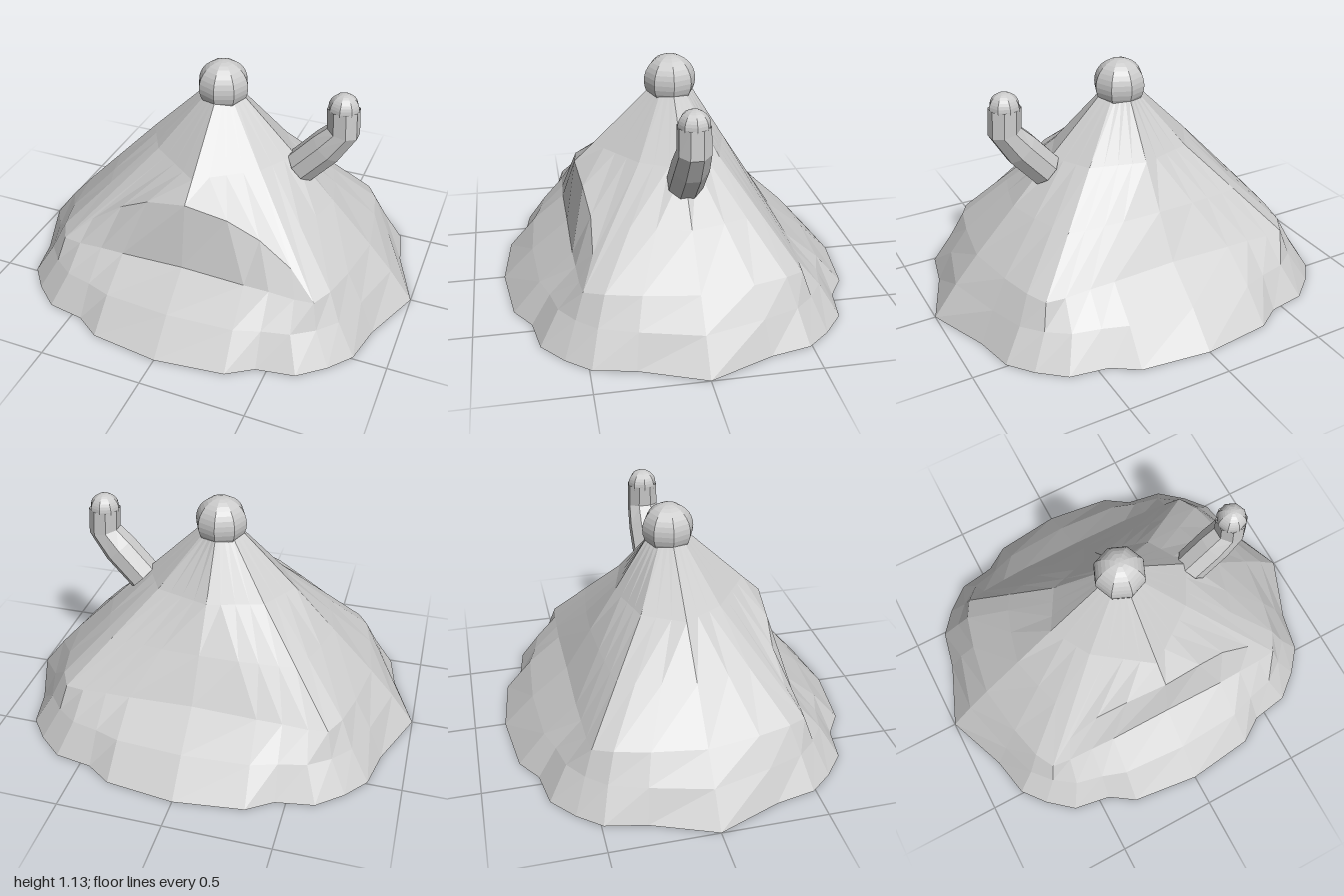
import * as THREE from 'three';

const material = new THREE.MeshStandardMaterial({
  color: 0xcccccc, flatShading: true, side: THREE.DoubleSide,
});

// Skins rows of equally many points (closed loops) with quads.
function skin(rows) {
  const n = rows[0].length;
  const index = [];
  for (let r = 0; r + 1 < rows.length; r++) {
    for (let i = 0; i < n; i++) {
      const a = r * n + i, b = r * n + (i + 1) % n;
      index.push(a, b, b + n, a, b + n, a + n);
    }
  }
  const g = new THREE.BufferGeometry();
  g.setAttribute('position', new THREE.Float32BufferAttribute(rows.flat(2), 3));
  g.setIndex(index);
  g.computeVertexNormals();
  return g;
}

function add(group, name, geometry, x = 0, y = 0, z = 0) {
  const mesh = new THREE.Mesh(geometry, material);
  mesh.name = name;
  mesh.position.set(x, y, z);
  group.add(mesh);
}

const lerp = (a, b, t) => a.map((v, i) => v + (b[i] - v) * t);

// One quarter of the outline, from the middle of the front round to the side.
const rim = [[0, 0, 0.85], [0.33, 0, 0.81], [0.45, 0, 0.73], [0.63, 0, 0.7],
  [0.75, 0, 0.6], [0.84, 0, 0.49], [0.88, 0, 0.3], [1, 0, 0]];
const flare = [[0, 0.15, 0.7], [0.32, 0.15, 0.68], [0.44, 0.15, 0.64], [0.57, 0.15, 0.61],
  [0.67, 0.15, 0.54], [0.75, 0.15, 0.45], [0.81, 0.15, 0.28], [0.885, 0.15, 0]];
const shoulder = [[0, 0.295, 0.52], [0.31, 0.285, 0.52], [0.43, 0.28, 0.515], [0.55, 0.27, 0.51],
  [0.64, 0.27, 0.5], [0.69, 0.28, 0.41], [0.73, 0.28, 0.25], [0.77, 0.28, 0]];
// Edge of the awning over the front panel.
const arch = [[0, 0.615, 0.47], [0.2, 0.57, 0.45], [0.35, 0.49, 0.43], [0.51, 0.38, 0.44],
  [0.64, 0.27, 0.5]];

// Straight-sided ring: column q between its middle, corner and side points.
const facet = (middle, corner, side, q) =>
  (q <= 4 ? lerp(middle, corner, q / 4) : lerp(corner, side, (q - 4) / 3));

// The four quarters are mirrored from the same column data.
function tentRows() {
  const rows = [[], [], [], [], [], []];
  for (let k = 0; k < 28; k++) {
    const m = k % 14, q = m <= 7 ? m : 14 - m;
    const sx = k < 14 ? 1 : -1;
    const front = k <= 7 || k >= 21;
    const waist = facet([0, 0.7, front ? 0.38 : 0.265], [0.26, 0.7, 0.19], [0.37, 0.7, 0], q);
    const neck = facet([0, 0.97, 0.1], [0.065, 0.97, 0.055], [0.1, 0.97, 0], q);
    const upper = front && q <= 4 ? arch[q] : lerp(shoulder[q], waist, 0.5);
    const column = [rim[q], flare[q], shoulder[q], upper, waist, neck];
    column.forEach((p, r) => rows[r].push([p[0] * sx, p[1], front ? p[2] : -p[2]]));
  }
  return rows;
}

// Bent eight-sided pipe: [x, y, lean of the section, radius]
function pipeRows() {
  const sections = [[0.4, 0.65, 0.78, 0], [0.4, 0.65, 0.78, 0.08], [0.52, 0.785, 0.72, 0.08],
    [0.592, 0.882, 0.2, 0.072], [0.585, 1.0, 0, 0.07]];
  return sections.map(([x, y, lean, r]) => Array.from({ length: 8 }, (_, i) => {
    const a = (i + 0.5) * Math.PI / 4;
    const u = Math.sin(a) * r * 1.08, w = Math.cos(a) * r * 1.08;
    return [x + u * Math.cos(lean), y - u * Math.sin(lean), w];
  }));
}

export function createModel() {
  const model = new THREE.Group();
  model.name = 'tent';

  // Open-bottomed canvas with flared brim
  add(model, 'canvas', skin(tentRows()));

  // Ball on the peak
  add(model, 'peakKnob', new THREE.SphereGeometry(0.124, 8, 16), 0, 1.006, 0);

  // Pipe on the left slope with its rounded cap
  const pipe = new THREE.Group();
  pipe.name = 'pipe';
  add(pipe, 'pipeTube', skin(pipeRows()));
  add(pipe, 'pipeCap', new THREE.SphereGeometry(0.072, 8, 16), 0.585, 1.0, 0);
  model.add(pipe);

  return model;
}
